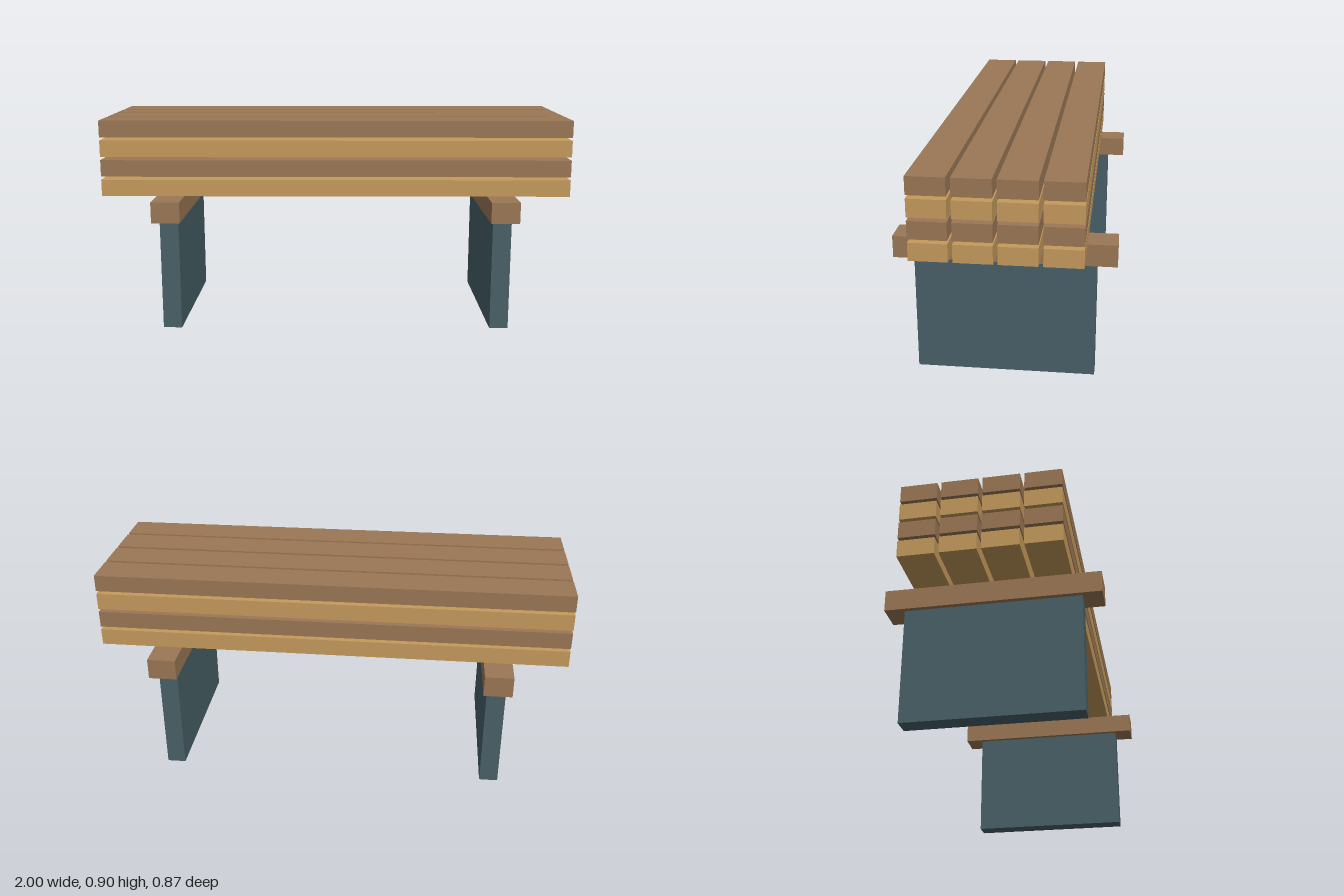
import * as THREE from 'three';

const material = (color) => new THREE.MeshStandardMaterial({ color });

export function createModel() {
  const group = new THREE.Group();
  const brown = material(0x9b7856);
  const tan = material(0xc49a5c);
  const slate = material(0x486068);

  const addBox = (name, size, position, mat) => {
    const mesh = new THREE.Mesh(new THREE.BoxGeometry(...size), mat);
    mesh.name = name;
    mesh.position.set(...position);
    group.add(mesh);
  };

  // Two panel legs, each carrying a wider cross beam
  for (const [side, x] of [['left', 0.71], ['right', -0.71]]) {
    addBox(`${side}Leg`, [0.08, 0.484, 0.714], [x, 0.242, 0], slate);
    addBox(`${side}CrossBeam`, [0.12, 0.089, 0.872], [x, 0.5285, 0], brown);
  }

  // Four layers of four planks, alternating tan and brown
  for (let layer = 0; layer < 4; layer++) {
    for (let row = 0; row < 4; row++) {
      addBox(
        `plankLayer${layer + 1}Row${row + 1}`,
        [2, 0.071, 0.147],
        [0, 0.612 + layer * 0.0843, (row - 1.5) * 0.164],
        layer % 2 ? brown : tan
      );
    }
  }
  return group;
}
